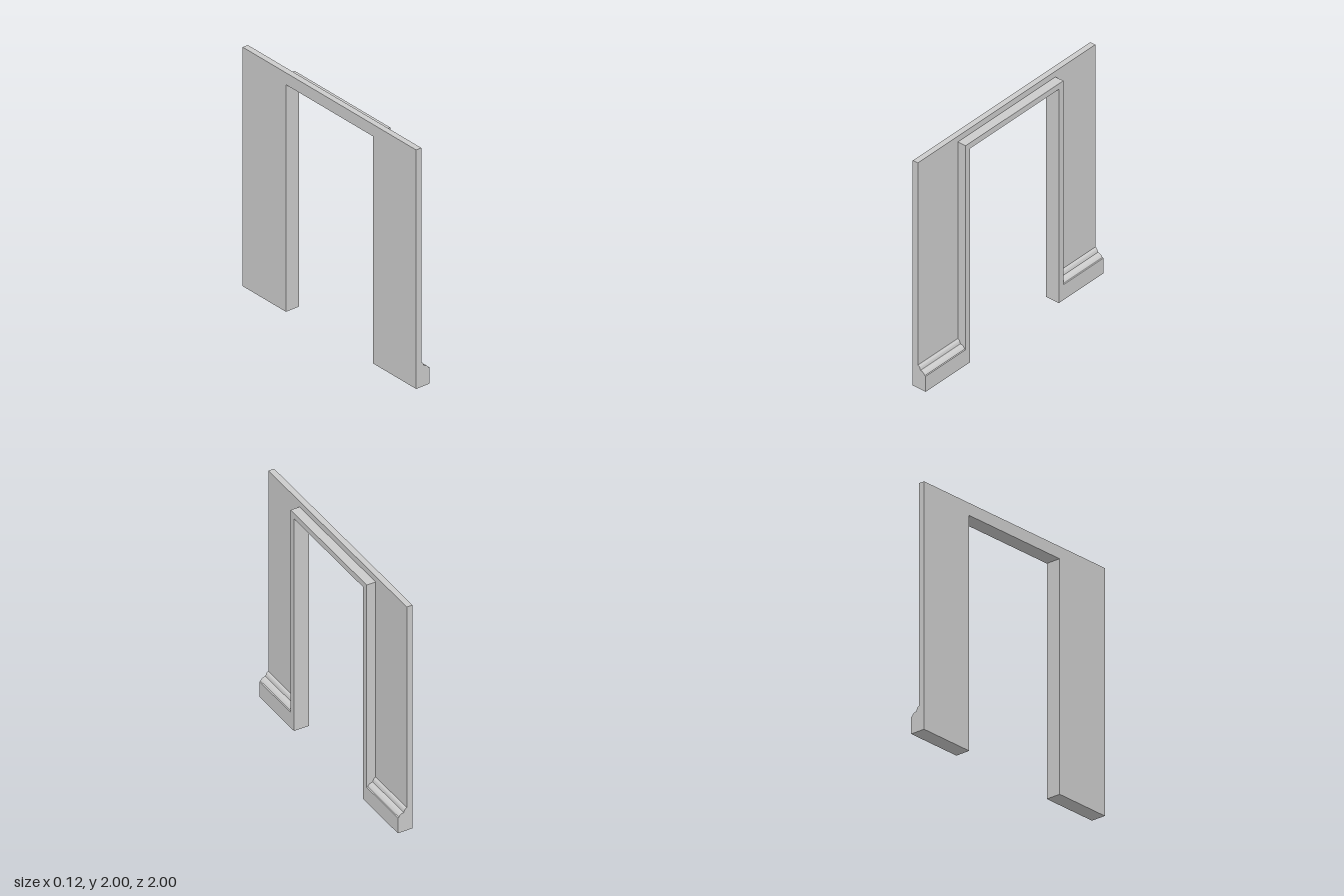
import * as THREE from 'three';
import { toCreasedNormals } from 'three/addons/utils/BufferGeometryUtils.js';

const BACK = -0.0625, WALL = -0.0135, FRONT = 0.0625; // depth layers along x
const OPEN_W = 0.5, OPEN_H = 1.9, TRIM = 0.05;

// Upside-down U around the doorway, extruded along x
function archGeometry(halfWidth, height, x0, x1) {
  const s = new THREE.Shape([
    [-halfWidth, 0], [-OPEN_W, 0], [-OPEN_W, OPEN_H], [OPEN_W, OPEN_H],
    [OPEN_W, 0], [halfWidth, 0], [halfWidth, height], [-halfWidth, height],
  ].map(([x, y]) => new THREE.Vector2(x, y)));
  const g = new THREE.ExtrudeGeometry(s, { depth: x1 - x0, bevelEnabled: false });
  return g.rotateY(Math.PI / 2).translate(x0, 0, 0);
}

// Moulded skirting profile, extruded along z
function skirtingGeometry(length) {
  const s = new THREE.Shape();
  s.moveTo(WALL, 0);
  s.lineTo(FRONT, 0);
  s.lineTo(FRONT, 0.137);
  s.lineTo(0.054, 0.14);
  s.quadraticCurveTo(0.042, 0.165, 0.012, 0.168);
  s.lineTo(0.01, 0.174);
  s.quadraticCurveTo(0.004, 0.198, -0.008, 0.2);
  s.lineTo(WALL, 0.203);
  const g = new THREE.ExtrudeGeometry(s, { depth: length, bevelEnabled: false, curveSegments: 8 });
  return toCreasedNormals(g, 0.4);
}

export function createModel() {
  const group = new THREE.Group();
  const material = new THREE.MeshStandardMaterial({ color: 0xcccccc });
  const add = (name, geometry) => {
    const mesh = new THREE.Mesh(geometry, material);
    mesh.name = name;
    group.add(mesh);
    return mesh;
  };

  add('wallPanel', archGeometry(1, 2, BACK, WALL));
  add('doorTrim', archGeometry(OPEN_W + TRIM, OPEN_H + TRIM, WALL, FRONT));

  // Skirting on both sides of the doorway
  const length = 1 - OPEN_W - TRIM;
  add('frontSkirting', skirtingGeometry(length)).position.z = OPEN_W + TRIM;
  add('backSkirting', skirtingGeometry(length)).position.z = -1;
  return group;
}
